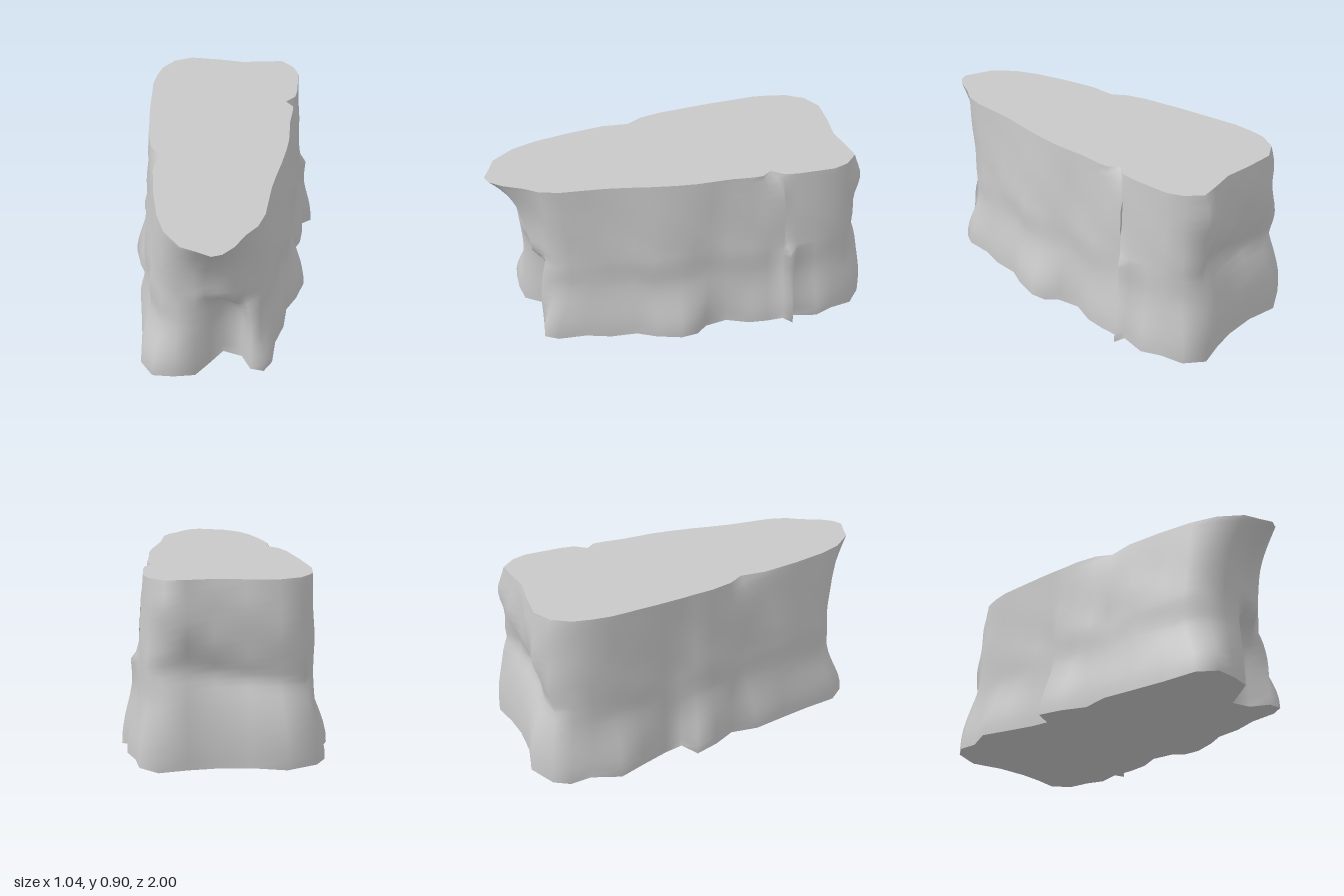
import * as THREE from 'three';

const HEIGHT = 0.9;

// Outlines as x, z pairs: from the front tip along +x, round the back, and home along -x.
const FOOT = [
  0.02, 0.75, 0.08, 0.66, 0.18, 0.69, 0.23, 0.78, 0.30, 0.79, 0.34, 0.72, 0.35, 0.57, 0.39, 0.44,
  0.40, 0.30, 0.45, 0.20, 0.49, 0.07, 0.48, -0.02, 0.43, -0.08, 0.41, -0.20, 0.46, -0.32, 0.47, -0.42,
  0.47, -0.51, 0.52, -0.55, 0.46, -0.57, 0.49, -0.70, 0.45, -0.80, 0.43, -0.92, 0.34, -1.00, 0.20, -0.97,
  0.07, -0.955, -0.10, -0.96, -0.27, -1.00, -0.42, -0.93, -0.47, -0.85, -0.46, -0.74, -0.52, -0.59, -0.47, -0.45,
  -0.42, -0.30, -0.40, -0.20, -0.50, -0.15, -0.46, -0.02, -0.40, 0.10, -0.42, 0.25, -0.39, 0.42, -0.36, 0.60,
  -0.34, 0.78, -0.27, 0.87, -0.16, 0.87, -0.05, 0.85,
];
const WAIST = [
  0.00, 0.83, 0.06, 0.82, 0.14, 0.80, 0.20, 0.74, 0.27, 0.70, 0.30, 0.62, 0.32, 0.52, 0.34, 0.42,
  0.36, 0.30, 0.39, 0.20, 0.40, 0.07, 0.40, -0.02, 0.39, -0.10, 0.40, -0.20, 0.42, -0.32, 0.42, -0.42,
  0.42, -0.50, 0.47, -0.53, 0.43, -0.57, 0.43, -0.68, 0.42, -0.78, 0.39, -0.87, 0.31, -0.92, 0.20, -0.88,
  0.07, -0.86, -0.10, -0.86, -0.24, -0.89, -0.36, -0.87, -0.41, -0.80, -0.43, -0.70, -0.43, -0.58, -0.43, -0.44,
  -0.41, -0.30, -0.39, -0.20, -0.42, -0.13, -0.40, -0.02, -0.39, 0.10, -0.35, 0.20, -0.36, 0.40, -0.31, 0.55,
  -0.29, 0.68, -0.22, 0.78, -0.14, 0.82, -0.05, 0.83,
];
const RIM = [
  0.05, 1.00, 0.10, 0.98, 0.15, 0.92, 0.20, 0.82, 0.25, 0.75, 0.28, 0.65, 0.29, 0.53, 0.30, 0.42,
  0.32, 0.30, 0.34, 0.20, 0.36, 0.07, 0.37, -0.03, 0.37, -0.12, 0.37, -0.22, 0.38, -0.32, 0.38, -0.38,
  0.34, -0.43, 0.39, -0.49, 0.40, -0.56, 0.40, -0.66, 0.40, -0.76, 0.37, -0.84, 0.30, -0.91, 0.20, -0.90,
  0.07, -0.88, -0.08, -0.90, -0.24, -0.91, -0.34, -0.86, -0.40, -0.77, -0.42, -0.68, -0.43, -0.58, -0.42, -0.44,
  -0.41, -0.30, -0.40, -0.20, -0.39, -0.12, -0.38, -0.02, -0.35, 0.10, -0.30, 0.18, -0.31, 0.32, -0.28, 0.52,
  -0.24, 0.70, -0.19, 0.83, -0.10, 0.94, -0.02, 0.97,
];
const COUNT = FOOT.length / 2;
const LEVELS = [0, 0.05, 0.1, 0.15, 0.2, 0.25, 0.3, 0.34, 0.38, 0.41, 0.44, 0.47, 0.5, 0.53, 0.57,
  0.61, 0.66, 0.71, 0.76, 0.8, 0.84, 0.87, 0.9];

const isHollow = (i) => i <= 3;
const isBack = (i) => i >= 22 && i <= 27;
const isCrown = (i) => i <= 3 || i >= 41;

// The waist follows the sloping lip at the front and the slanting ledge at the back
function waistHeight(i) {
  if (isHollow(i)) return 0.52 - 0.03 * i;
  if (isBack(i)) return 0.48 - 0.022 * (i - 22);
  return 0.45;
}

function lowerBlend(i, t) {
  if (isHollow(i)) return Math.pow(t, 6);           // hollow under the lip
  if (isBack(i)) return Math.pow(t, 2.2);           // ledge
  return THREE.MathUtils.smoothstep(t, 0.03, 0.77); // flared feet
}

function upperBlend(i, t) {
  if (isCrown(i)) return Math.pow(t, 2.4);          // overhanging crown
  if (i === 16 || i === 37) return Math.pow(t, 7);  // nicks in the rim
  if (i === 17) return Math.pow(t, 0.35);           // buttress ending part way up
  return t;
}

// One point of the cliff wall at station i and height y
function wallPoint(i, y) {
  const mid = waistHeight(i), lower = y <= mid;
  const from = lower ? FOOT : WAIST, to = lower ? WAIST : RIM;
  const t = lower ? y / mid : (y - mid) / (HEIGHT - mid);
  const f = lower ? lowerBlend(i, t) : upperBlend(i, t);
  let x = THREE.MathUtils.lerp(from[2 * i], to[2 * i], f);
  let z = THREE.MathUtils.lerp(from[2 * i + 1], to[2 * i + 1], f);
  // Lumpy back wall above the ledge
  if (isBack(i) && !lower) z -= Math.sin(Math.PI * t) * (0.03 + 0.018 * Math.sin(i * 2.3 + y * 17));
  // Gentle weathering that fades out at foot and rim
  const fade = Math.sin(Math.PI * y / HEIGHT);
  const wear = 0.008 * fade * Math.sin(i * 2.1 + y * 11) * Math.cos(i * 0.7 - y * 8);
  const len = Math.hypot(x, z * 0.4);
  x += wear * x / len;
  z += wear * z * 0.4 / len;
  return [x, y, z];
}

function wallGeometry() {
  const positions = [], index = [];
  LEVELS.forEach((y, j) => {
    for (let i = 0; i < COUNT; i++) {
      positions.push(...wallPoint(i, y));
      if (j === LEVELS.length - 1) continue;
      const n = (i + 1) % COUNT;
      const a = j * COUNT + i, b = j * COUNT + n, c = b + COUNT, d = a + COUNT;
      index.push(a, b, c, a, c, d);
    }
  });
  const geometry = new THREE.BufferGeometry();
  geometry.setAttribute('position', new THREE.Float32BufferAttribute(positions, 3));
  geometry.setIndex(index);
  geometry.computeVertexNormals();
  return geometry;
}

// Flat cap filling an outline; up is 1 for a top face and -1 for an underside
function capGeometry(outline, up) {
  const points = [];
  for (let i = 0; i < COUNT; i++) points.push(new THREE.Vector2(outline[2 * i], -up * outline[2 * i + 1]));
  return new THREE.ShapeGeometry(new THREE.Shape(points)).rotateX(-up * Math.PI / 2);
}

export function createModel() {
  const group = new THREE.Group();
  group.name = 'rockCliff';
  const stone = new THREE.MeshStandardMaterial({ color: 0xc8c8c8 });
  stone.name = 'grey stone';

  const add = (name, geometry, y = 0) => {
    const mesh = new THREE.Mesh(geometry, stone);
    mesh.name = name;
    mesh.position.y = y;
    group.add(mesh);
  };
  add('cliffWall', wallGeometry());
  add('plateau', capGeometry(RIM, 1), HEIGHT);
  add('underside', capGeometry(FOOT, -1));
  return group;
}
